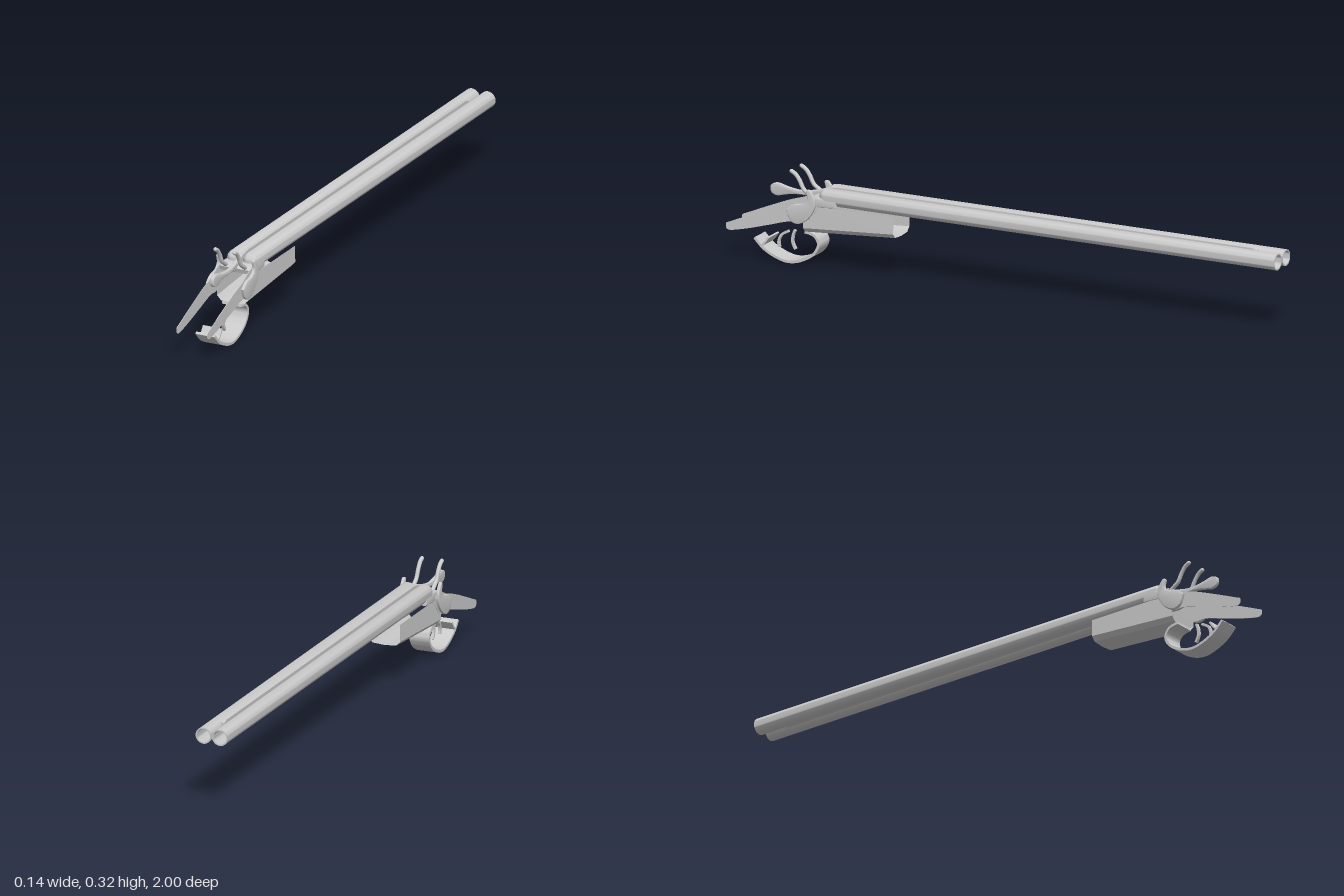
import * as THREE from 'three';
import { toCreasedNormals } from 'three/addons/utils/BufferGeometryUtils.js';

const material = new THREE.MeshStandardMaterial({ color: 0xcccccc, side: THREE.DoubleSide });
const V2 = (p) => new THREE.Vector2(p[0], p[1]);

export function createModel() {
  const group = new THREE.Group();
  const add = (name, geometry, x = 0) => {
    const mesh = new THREE.Mesh(geometry, material);
    mesh.name = name;
    mesh.position.x = x;
    group.add(mesh);
    return mesh;
  };

  // Side outline given as [z, y], extruded to a width centred on x = 0
  const slab = (points, width, bevel = 0) => {
    const g = new THREE.ExtrudeGeometry(new THREE.Shape(points), {
      depth: width - 2 * bevel, bevelEnabled: bevel > 0, bevelSize: bevel,
      bevelOffset: -bevel, bevelThickness: bevel, bevelSegments: 3,
    });
    g.translate(0, 0, -width / 2 + bevel);
    g.rotateY(-Math.PI / 2);
    return toCreasedNormals(g, 0.6);
  };
  const smooth = (points, n = 40, closed = false) =>
    new THREE.SplineCurve(closed ? [...points, points[0]].map(V2) : points.map(V2)).getPoints(n);

  // Bent strip of constant thickness following a [z, y] path
  const strip = (path, thickness, width) => {
    const mid = smooth(path);
    const offset = (s) => mid.map((p, i) => {
      const a = mid[Math.max(i - 1, 0)], b = mid[Math.min(i + 1, mid.length - 1)];
      const d = b.clone().sub(a).normalize();
      return new THREE.Vector2(p.x - d.y * s, p.y + d.x * s);
    });
    return slab([...offset(thickness / 2), ...offset(-thickness / 2).reverse()], width);
  };

  // Hollow barrels with rounded breech ends
  const profile = [];
  for (let i = 0; i <= 6; i++) {
    const a = (i / 6) * Math.PI / 2;
    profile.push([0.028 * Math.sin(a), -0.642 - 0.028 * Math.cos(a)]);
  }
  profile.push([0.0275, 1], [0.023, 1], [0.023, -0.6], [0, -0.6]);
  const barrel = toCreasedNormals(new THREE.LatheGeometry(profile.map(V2), 40), 0.6);
  barrel.rotateX(-Math.PI / 2);
  barrel.translate(0, 0.241, 0);
  for (const s of [-1, 1]) add(s > 0 ? 'leftBarrel' : 'rightBarrel', barrel, s * 0.029);

  // Rib joining the barrels
  add('barrelRib', slab([[0.66, 0.225], [0.66, 0.262], [0.62, 0.268], [-0.89, 0.268], [-0.91, 0.262], [-0.91, 0.225]].map(V2), 0.012));

  // Breech block below the hammers
  add('breech', slab([[0.6, 0.212], [0.66, 0.207], [0.7, 0.215], [0.705, 0.23], [0.69, 0.24], [0.6, 0.24]].map(V2), 0.112, 0.004));

  // Open fore-end channel with chamfered lower corners
  const section = (z, bottom) => [
    [-0.055, 0.211], [-0.056, bottom + 0.018], [-0.042, bottom + 0.003], [0, bottom],
    [0.042, bottom + 0.003], [0.056, bottom + 0.018], [0.055, 0.211],
  ].map(([x, y]) => [x, y, z]);
  const back = section(0.39, 0.136), front = section(0.72, 0.114);
  const vertices = [];
  for (let i = 0; i < back.length - 1; i++) {
    for (const p of [back[i], back[i + 1], front[i + 1], back[i], front[i + 1], front[i]]) vertices.push(...p);
  }
  const channel = new THREE.BufferGeometry();
  channel.setAttribute('position', new THREE.Float32BufferAttribute(vertices, 3));
  channel.computeVertexNormals();
  add('foreEndChannel', channel);

  // Side parts, mirrored
  const plate = [[1, 0.098], [0.985, 0.091], [0.92, 0.105], [0.84, 0.128], [0.77, 0.148], [0.72, 0.15],
    [0.68, 0.18], [0.67, 0.22], [0.7, 0.235], [0.76, 0.207], [0.82, 0.188], [0.9, 0.156], [0.98, 0.122], [0.999, 0.113]];
  const hammer = [[0.775, 0.19], [0.76, 0.155], [0.73, 0.147], [0.695, 0.168], [0.672, 0.205],
    [0.67, 0.235], [0.688, 0.264], [0.702, 0.262], [0.698, 0.236], [0.715, 0.218], [0.75, 0.21]];
  const spurPath = new THREE.CatmullRomCurve3([
    [0, 0.228, 0.69], [0, 0.24, 0.705], [0, 0.256, 0.727], [0, 0.285, 0.743], [0, 0.303, 0.757], [0, 0.312, 0.772],
  ].map((p) => new THREE.Vector3(...p)));
  for (const s of [-1, 1]) {
    const side = s > 0 ? 'left' : 'right';
    add(side + 'LockPlate', slab(smooth(plate, 56, true), 0.002), s * 0.056);
    add(side + 'Hammer', slab(smooth(hammer, 44, true), 0.011, 0.003), s * 0.0645);
    add(side + 'HammerSpur', new THREE.TubeGeometry(spurPath, 24, 0.007, 12), s * 0.035);
    // Rounded tip of the spur
    const tip = new THREE.SphereGeometry(0.007, 12, 8);
    tip.translate(0, 0.312, 0.772);
    add(side + 'SpurTip', tip, s * 0.035);
  }

  // Upright top lever with a rounded thumb end
  const lever = [[0.66, 0.262], [0.7, 0.25], [0.75, 0.241], [0.8, 0.246], [0.84, 0.255], [0.864, 0.245],
    [0.862, 0.222], [0.84, 0.213], [0.8, 0.222], [0.75, 0.227], [0.7, 0.222], [0.66, 0.22]];
  add('topLever', slab(smooth(lever, 48, true), 0.013, 0.003));

  // Wide trigger guard with an upturned rear lip
  add('triggerGuard', strip([[0.725, 0.113], [0.69, 0.104], [0.675, 0.075], [0.695, 0.04], [0.74, 0.014],
    [0.785, 0.005], [0.83, 0.015], [0.875, 0.038], [0.908, 0.07]], 0.009, 0.07));
  add('guardLip', strip([[0.885, 0.045], [0.872, 0.056], [0.856, 0.078]], 0.006, 0.07));

  // Two curved triggers
  const triggers = { frontTrigger: [[0.775, 0.04], [0.785, 0.062], [0.784, 0.085], [0.777, 0.104]],
    rearTrigger: [[0.834, 0.04], [0.836, 0.06], [0.825, 0.083], [0.8, 0.098]] };
  for (const [name, path] of Object.entries(triggers)) add(name, strip(path, 0.008, 0.01));

  return group;
}
